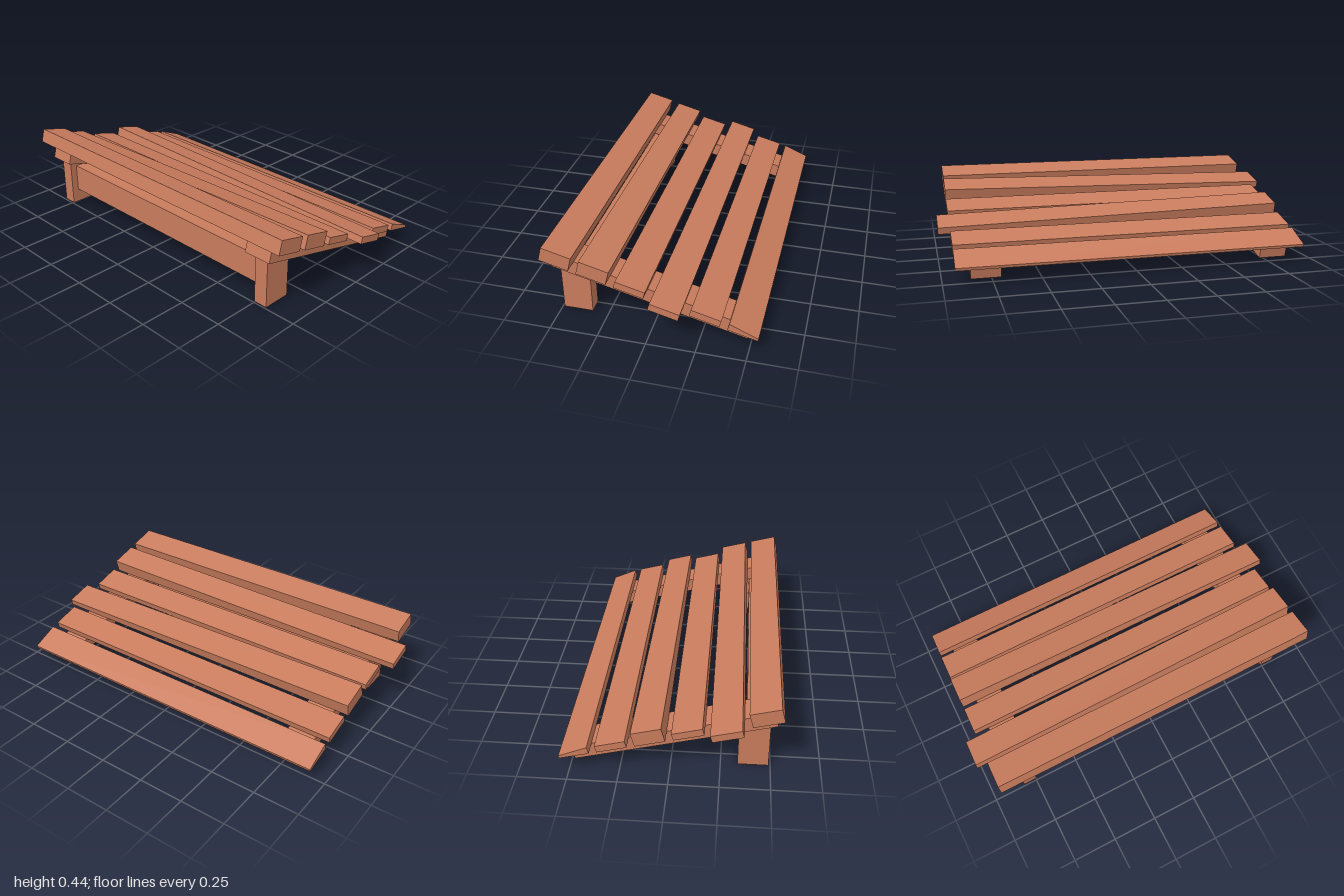
import * as THREE from 'three';

export function createModel() {
  const model = new THREE.Group();
  model.name = 'slattedRamp';
  const wood = new THREE.MeshStandardMaterial({ color: 0xc97c5d });
  wood.name = 'terracotta wood';

  // Box between two limits on each axis; topAt(x, z) may slope its upper face
  function beam(parent, name, [x0, x1], [y0, y1], [z0, z1], topAt) {
    const geo = new THREE.BoxGeometry(x1 - x0, y1 - y0, z1 - z0);
    geo.translate((x0 + x1) / 2, (y0 + y1) / 2, (z0 + z1) / 2);
    if (topAt) {
      const p = geo.attributes.position;
      for (let i = 0; i < p.count; i++) {
        if (p.getY(i) > (y0 + y1) / 2) p.setY(i, topAt(p.getX(i), p.getZ(i)));
      }
      geo.computeVertexNormals();
    }
    const mesh = new THREE.Mesh(geo, wood);
    mesh.name = name;
    parent.add(mesh);
    return mesh;
  }

  // Sloping deck: local y = 0 is the top of the runners
  const tilt = THREE.MathUtils.degToRad(14.75);
  const deckHeight = 0.222;
  const deck = new THREE.Group();
  deck.name = 'deck';
  deck.position.y = deckHeight;
  deck.rotation.x = -tilt;
  model.add(deck);

  // Slats from the high front to the low back
  const thick = 0.077, thin = 0.038, edge = 0.938, depth = 0.155;
  const lerp = THREE.MathUtils.lerp;
  const slats = [
    { left: edge, right: -edge, top: () => thick },
    // thins out towards its longer right end
    { left: edge, right: -1, top: (x) => lerp(thin, thick, (x + 1) / (edge + 1)) },
    { left: edge, right: -edge, top: () => thin },
    // thins out towards its longer left end
    { left: 1, right: -edge, top: (x) => lerp(thick, thin, (x + edge) / (edge + 1)) },
    { left: edge, right: -edge, top: () => thin },
    // feathered down along the back edge
    { left: edge, right: -edge, top: (x, z) => (z < -0.48 ? 0.015 : thin) },
  ];
  slats.forEach((s, i) => {
    const front = 0.569 - 0.195 * i;
    beam(deck, `slat${i + 1}`, [s.right, s.left], [0, thick], [front - depth, front], s.top);
  });

  // Runners under the slats, and legs cut to the slope of the runners
  const runnerHeight = 0.0775;
  const underside = (x, z) => deckHeight - runnerHeight / Math.cos(tilt) + z * Math.tan(tilt);
  for (const side of [1, -1]) {
    const label = side > 0 ? 'left' : 'right';
    const span = (a, b) => (side > 0 ? [a, b] : [-b, -a]);
    beam(deck, `${label}Runner`, span(0.707, 0.86), [-runnerHeight, 0], [-0.518, 0.522]);
    beam(model, `${label}Leg`, span(0.745, 0.822), [0, 0.25], [0.336, 0.491], underside);
  }

  // Board joining the legs
  beam(model, 'stretcher', [-0.745, 0.745], [0.08, 0.235], [0.375, 0.452]);

  return model;
}
